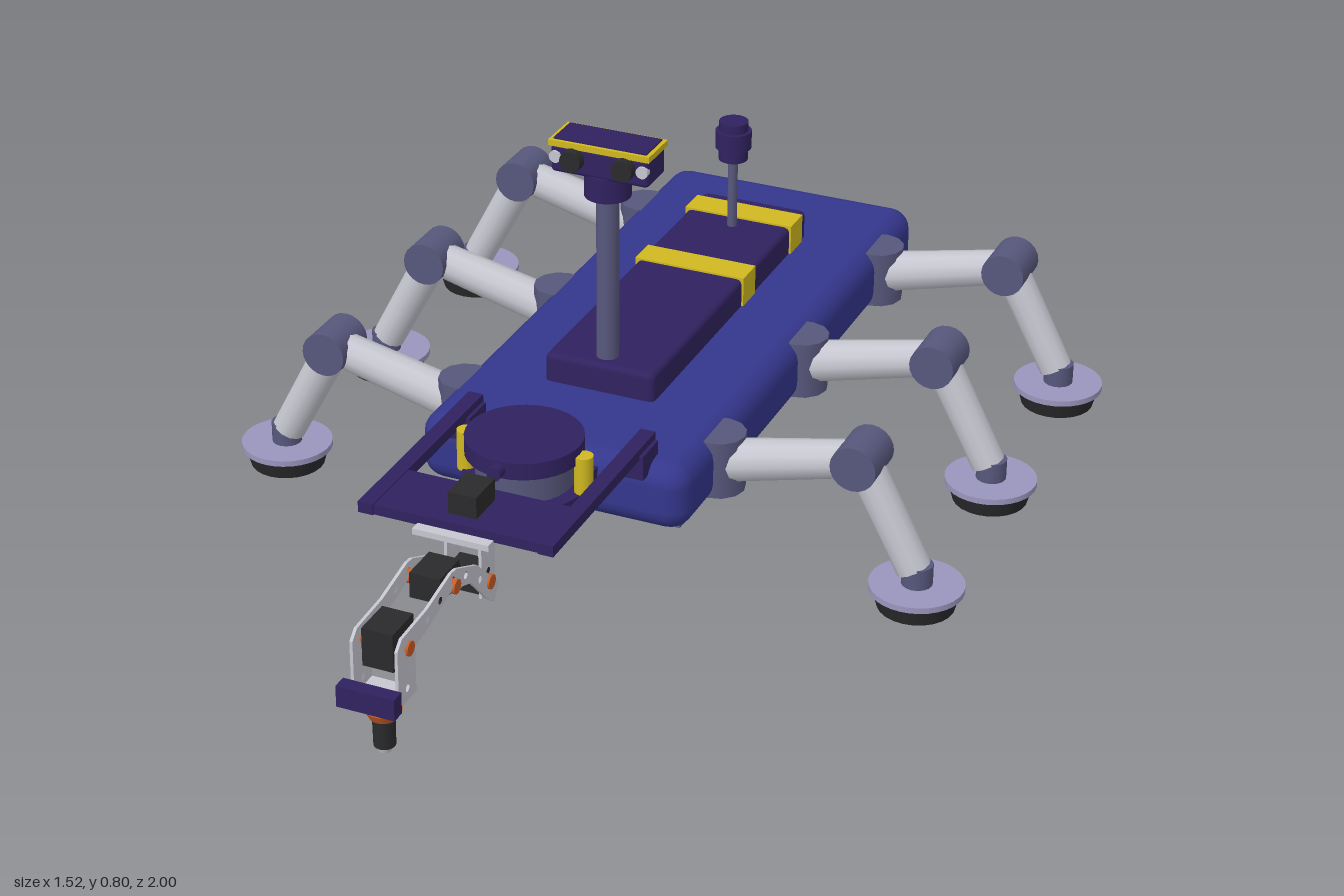
import * as THREE from 'three';
import { RoundedBoxGeometry } from 'three/addons/geometries/RoundedBoxGeometry.js';

const paint = (name, color) => Object.assign(new THREE.MeshStandardMaterial({ color }), { name });

export function createModel() {
  const blue = paint('hull blue', 0x34368c);
  const purple = paint('dark purple', 0x30225f);
  const slate = paint('slate', 0x57577c);
  const lavender = paint('lavender', 0x9a96bd);
  const white = paint('pale grey', 0xc6c6d0);
  const yellow = paint('yellow', 0xd0b820);
  const black = paint('black', 0x2a2a2c);
  const orange = paint('orange', 0xc85c24);

  const model = new THREE.Group();
  model.name = 'walkingRobot';

  const add = (parent, name, geo, mat, x = 0, y = 0, z = 0) => {
    const m = new THREE.Mesh(geo, mat);
    m.name = name;
    m.position.set(x, y, z);
    parent.add(m);
    return m;
  };
  // Box given by its centre
  const box = (p, name, mat, w, h, d, x, y, z) => add(p, name, new THREE.BoxGeometry(w, h, d), mat, x, y, z);
  // Upright cylinder given by its bottom and top heights
  const post = (p, name, mat, rTop, rBot, y0, y1, x, z, sides = 24) =>
    add(p, name, new THREE.CylinderGeometry(rTop, rBot, y1 - y0, sides), mat, x, (y0 + y1) / 2, z);
  // Cylinder between two points
  const rod = (p, name, mat, a, b, r0, r1 = r0, sides = 16) => {
    const A = new THREE.Vector3(...a), B = new THREE.Vector3(...b);
    const dir = B.clone().sub(A);
    const m = add(p, name, new THREE.CylinderGeometry(r1, r0, dir.length(), sides), mat);
    m.position.copy(A).add(B).multiplyScalar(0.5);
    m.quaternion.setFromUnitVectors(new THREE.Vector3(0, 1, 0), dir.normalize());
    return m;
  };
  const group = (name, parent = model) => {
    const g = new THREE.Group();
    g.name = name;
    parent.add(g);
    return g;
  };

  // Hull, belly plate and raised deck with two painted bands
  const hull = group('hull');
  add(hull, 'hullShell', new RoundedBoxGeometry(0.55, 0.138, 1.26, 3, 0.045), blue, 0, 0.218, -0.37);
  box(hull, 'bellyPlate', slate, 0.46, 0.05, 1.09, 0, 0.14, -0.375);
  add(hull, 'deck', new RoundedBoxGeometry(0.228, 0.07, 0.8, 2, 0.012), purple, 0, 0.31, -0.37);
  for (const z of [-0.445, -0.705]) box(hull, 'deckBand', yellow, 0.236, 0.062, 0.064, 0, 0.318, z);

  // Six legs
  for (const side of [1, -1]) {
    for (const z of [0.068, -0.366, -0.802]) {
      const leg = group(side > 0 ? 'leftLeg' : 'rightLeg');
      leg.position.z = z;
      post(leg, 'hip', slate, 0.053, 0.053, 0.163, 0.28, side * 0.265, 0, 12);
      rod(leg, 'upperLeg', white, [side * 0.28, 0.222, 0], [side * 0.55, 0.287, 0], 0.042, 0.036, 12);
      rod(leg, 'knee', slate, [side * 0.55, 0.288, -0.05], [side * 0.55, 0.288, 0.05], 0.045, 0.045, 20);
      rod(leg, 'lowerLeg', white, [side * 0.55, 0.288, 0], [side * 0.661, 0.078, 0], 0.036, 0.034, 12);
      post(leg, 'ankle', slate, 0.03, 0.03, 0.045, 0.09, side * 0.668, 0, 16);
      post(leg, 'footDisc', lavender, 0.091, 0.091, 0.036, 0.048, side * 0.668, 0, 32);
      post(leg, 'footPad', black, 0.084, 0.074, 0, 0.036, side * 0.668, 0, 24);
    }
  }

  // Camera mast
  const mast = group('cameraMast');
  const mz = -0.013;
  post(mast, 'mastPole', slate, 0.022, 0.022, 0.34, 0.69, 0, mz);
  post(mast, 'mastNeck', purple, 0.045, 0.045, 0.685, 0.735, 0, mz);
  add(mast, 'cameraHead', new RoundedBoxGeometry(0.198, 0.056, 0.082, 2, 0.008), purple, 0, 0.759, mz);
  box(mast, 'headTrim', yellow, 0.204, 0.012, 0.088, 0, 0.791, mz);
  box(mast, 'headCap', purple, 0.188, 0.005, 0.074, 0, 0.7975, mz);
  for (const s of [1, -1]) {
    rod(mast, 'lens', black, [s * 0.052, 0.765, 0.02], [s * 0.052, 0.765, 0.046], 0.023, 0.021);
    rod(mast, 'sideLamp', white, [s * 0.088, 0.764, 0.02], [s * 0.088, 0.764, 0.033], 0.012);
  }

  // Rear antenna
  const antenna = group('antenna');
  post(antenna, 'antennaPole', slate, 0.01, 0.01, 0.34, 0.51, 0, -0.64, 12);
  post(antenna, 'antennaHead', purple, 0.03, 0.03, 0.496, 0.58, 0, -0.64, 20);
  post(antenna, 'antennaRing', purple, 0.037, 0.037, 0.522, 0.56, 0, -0.64, 20);

  // Front turret
  const turret = group('turret');
  const tz = 0.36;
  post(turret, 'turretCap', purple, 0.111, 0.111, 0.328, 0.362, 0, tz, 32);
  post(turret, 'turretDrum', slate, 0.092, 0.092, 0.268, 0.328, 0, tz, 32);
  post(turret, 'turretFlange', purple, 0.12, 0.12, 0.238, 0.27, 0, tz, 32);
  post(turret, 'turretBase', purple, 0.078, 0.078, 0.197, 0.238, 0, tz, 32);
  box(turret, 'turretMount', purple, 0.2, 0.06, 0.12, 0, 0.232, 0.28);
  rod(turret, 'turretNose', purple, [0, 0.345, 0.46], [0, 0.345, 0.492], 0.014);
  for (const s of [1, -1]) post(turret, 'turretLug', yellow, 0.018, 0.018, 0.265, 0.345, s * 0.119, tz, 16);

  // Carrier frame holding the arm
  const frame = group('carrierFrame');
  for (const s of [1, -1]) {
    box(frame, 'rail', purple, 0.03, 0.022, 0.45, s * 0.177, 0.318, 0.425);
    box(frame, 'railBracket', purple, 0.045, 0.05, 0.07, s * 0.177, 0.29, 0.24);
  }
  box(frame, 'armPlate', purple, 0.384, 0.02, 0.137, 0, 0.317, 0.578);
  box(frame, 'armCrossbar', white, 0.15, 0.012, 0.026, 0, 0.305, 0.655);

  // Arm side plates: outline in (z, y), pierced with lightening holes
  const arm = group('arm');
  const plate = (points, holes) => {
    const shape = new THREE.Shape(points.map(([z, y]) => new THREE.Vector2(-z, y)));
    for (const [z, y] of holes) {
      const h = new THREE.Path();
      h.absarc(-z, y, 0.007, 0, Math.PI * 2, true);
      shape.holes.push(h);
    }
    const g = new THREE.ExtrudeGeometry(shape, { depth: 0.006, bevelEnabled: false, curveSegments: 6 });
    return g.translate(0, 0, -0.003).rotateY(Math.PI / 2);
  };
  const column = plate([[0.566, 0.145], [0.62, 0.165], [0.62, 0.31], [0.566, 0.31]],
    [[0.593, 0.29], [0.593, 0.25], [0.593, 0.21]]);
  const link = plate([[0.59, 0.145], [0.615, 0.165], [0.68, 0.235], [0.755, 0.262], [0.85, 0.238],
    [0.898, 0.23], [0.898, 0.14], [0.963, 0.14], [0.963, 0.255], [0.945, 0.272], [0.85, 0.277],
    [0.755, 0.297], [0.735, 0.295], [0.655, 0.258], [0.57, 0.175]],
  [[0.60, 0.172], [0.645, 0.222], [0.70, 0.262], [0.75, 0.28], [0.80, 0.267], [0.85, 0.257], [0.93, 0.245], [0.93, 0.165]]);
  for (const s of [1, -1]) {
    add(arm, 'columnPlate', column, white, s * 0.034);
    add(arm, 'linkPlate', link, white, s * 0.043);
  }
  box(arm, 'elbowWeb', white, 0.086, 0.008, 0.05, 0, 0.247, 0.7);
  box(arm, 'wristFloor', white, 0.086, 0.008, 0.065, 0, 0.144, 0.93);

  // Servos with horns at each joint
  box(arm, 'baseServo', black, 0.056, 0.045, 0.076, 0, 0.348, 0.58);
  for (const [z, y, h, d] of [[0.593, 0.195, 0.05, 0.045], [0.73, 0.262, 0.05, 0.078], [0.91, 0.24, 0.075, 0.078]]) {
    box(arm, 'servo', black, 0.06, h, d, 0, y, z);
    rod(arm, 'servoHorn', orange, [-0.05, y, z + 0.01], [0.05, y, z + 0.01], 0.014);
  }

  // Tool head
  const tool = group('tool');
  box(tool, 'toolPlate', purple, 0.112, 0.042, 0.028, 0, 0.163, 0.986);
  post(tool, 'toolShaft', black, 0.022, 0.022, 0.11, 0.145, 0, 0.934, 16);
  post(tool, 'toolCollar', orange, 0.034, 0.026, 0.098, 0.115, 0, 0.934);
  post(tool, 'toolBarrel', black, 0.021, 0.02, 0.04, 0.098, 0, 0.934, 16);
  post(tool, 'toolTip', white, 0.016, 0.012, 0.028, 0.04, 0, 0.934, 16);

  return model;
}
